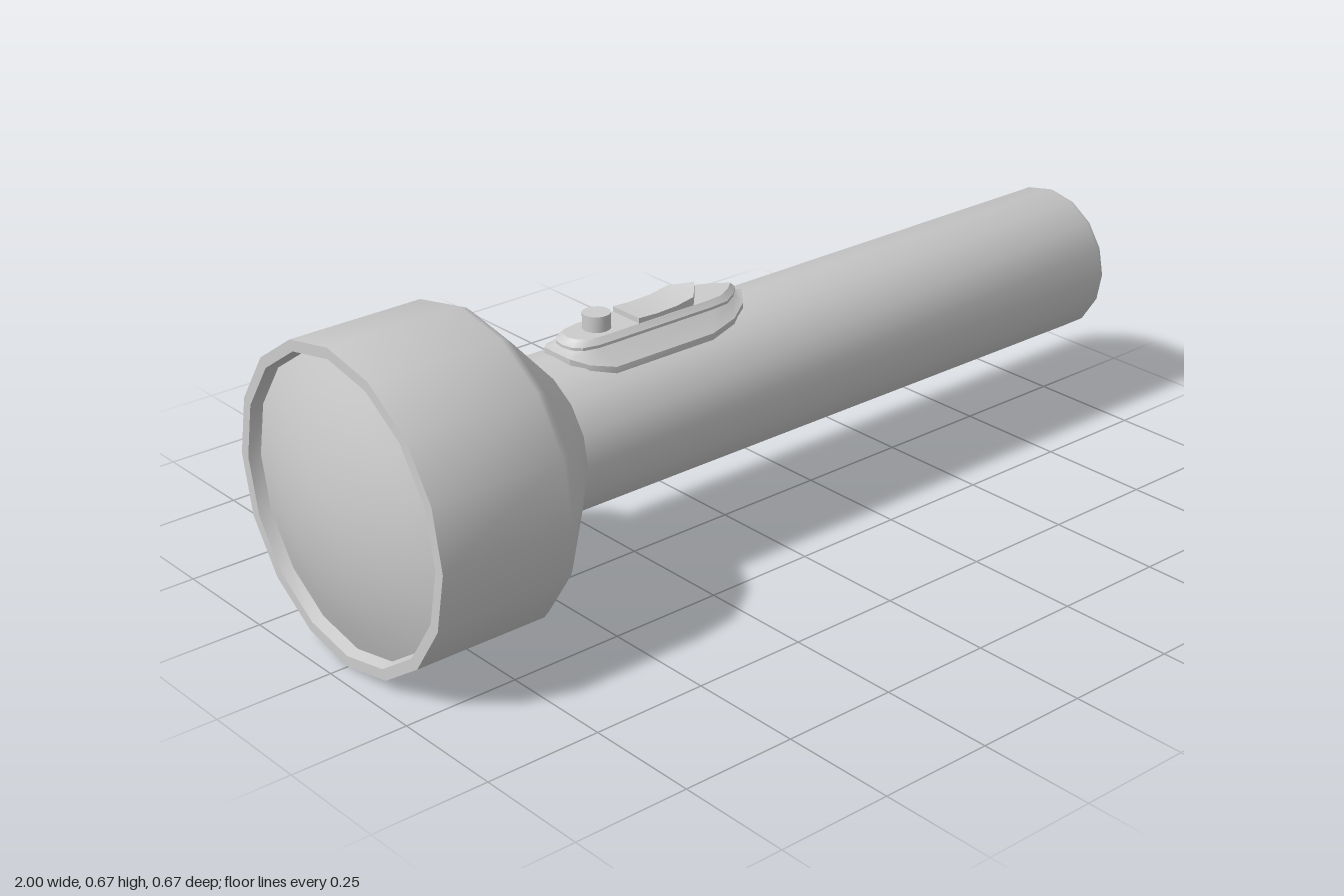
import * as THREE from 'three';
import { toCreasedNormals } from 'three/addons/utils/BufferGeometryUtils.js';

const AXIS = 0.333, BODY_R = 0.165;

export function createModel() {
  const model = new THREE.Group();
  const material = new THREE.MeshStandardMaterial({ color: 0xcccccc });

  function add(name, geometry, crease = 0.6) {
    const mesh = new THREE.Mesh(toCreasedNormals(geometry, crease), material);
    mesh.name = name;
    model.add(mesh);
    return mesh;
  }

  // 16-sided turned part lying along x; profile is [x, radius]
  function turned(name, profile, crease) {
    const points = profile.map(([x, r]) => new THREE.Vector2(r, x));
    const geometry = new THREE.LatheGeometry(points, 16);
    geometry.rotateZ(-Math.PI / 2);
    geometry.translate(0, AXIS, 0);
    return add(name, geometry, crease);
  }

  // Stacks mirrored outlines from bottom to top and closes the top.
  // Each ring is a half outline of [x, z] with a height rule y(x, z).
  function loft(name, rings, crease) {
    const loops = rings.map(({ half, y }) => {
      const back = half.slice(1, -1).reverse().map(([x, z]) => [x, -z]);
      return [...half, ...back].map(([x, z]) => [x, y(x, z), z]);
    });
    const n = loops[0].length;
    const positions = [];
    const quad = (a, b, c, d) => positions.push(...a, ...b, ...c, ...a, ...c, ...d);
    for (let k = 0; k < loops.length - 1; k++) {
      for (let i = 0; i < n; i++) {
        const j = (i + 1) % n;
        quad(loops[k][i], loops[k][j], loops[k + 1][j], loops[k + 1][i]);
      }
    }
    const top = loops[loops.length - 1];
    for (let i = 0; i < n / 2; i++) {
      const a = top[i], b = top[i + 1], c = top[n - i - 1], d = top[(n - i) % n];
      if (i === 0) positions.push(...a, ...b, ...c);
      else if (i === n / 2 - 1) positions.push(...a, ...b, ...d);
      else quad(a, b, c, d);
    }
    const geometry = new THREE.BufferGeometry();
    geometry.setAttribute('position', new THREE.Float32BufferAttribute(positions, 3));
    geometry.computeVertexNormals();
    return add(name, geometry, crease);
  }

  // Domed lens, set slightly inside the rim
  const lens = [0, 0.06, 0.12, 0.18, 0.24, 0.305].map(r => [-1 + 0.7 * r * r, r]);
  turned('lens', lens);

  // Head: recessed rim, barrel, softened shoulder and cone
  turned('head', [
    [-0.93, 0.302], [-0.96, 0.31], [-0.96, 0.333], [-0.665, 0.333],
    [-0.648, 0.325], [-0.635, 0.313], [-0.495, BODY_R],
  ]);

  // Handle tube with bevelled end cap
  turned('handle', [
    [-0.5, BODY_R], [0.985, BODY_R], [0.996, 0.16], [1, 0.15], [1, 0],
  ]);

  // Switch plate: a flange following the tube, then a raised block
  const flange = [
    [-0.445, 0], [-0.437, 0.04], [-0.41, 0.07], [-0.36, 0.09],
    [-0.11, 0.09], [-0.04, 0.075], [0.01, 0.045], [0.045, 0],
  ];
  const block = [
    [-0.425, 0], [-0.42, 0.025], [-0.405, 0.042], [-0.37, 0.051],
    [-0.08, 0.051], [-0.035, 0.047], [0, 0.026], [0.028, 0],
  ];
  const inset = block.map(([x, z]) => [-0.19 + (x + 0.19) * 0.94, z * 0.82]);
  const onTube = lift => (x, z) => AXIS + Math.sqrt(BODY_R ** 2 - z * z) + lift;
  loft('switchPlate', [
    { half: flange, y: onTube(-0.012) },
    { half: flange, y: onTube(0.01) },
    { half: block, y: () => 0.512 },
    { half: block, y: () => 0.518 },
    { half: inset, y: () => 0.53 },
  ], 0.5);

  // Sliding switch: pointed towards the tail, dished on top
  const slider = [[-0.262, 0], [-0.262, 0.041], [-0.215, 0.041], [-0.165, 0.041],
    [-0.12, 0.041], [-0.082, 0]];
  const sliderTop = x => 0.539 + 1.4 * Math.max(0, x + 0.2) ** 2 + 0.6 * Math.max(0, -x - 0.2) ** 2;
  loft('slideSwitch', [
    { half: slider, y: () => 0.52 },
    { half: slider, y: sliderTop },
  ], 0.5);

  // Round push button
  const button = new THREE.CylinderGeometry(0.029, 0.029, 0.043, 16);
  add('pushButton', button).position.set(-0.337, 0.5415, 0);

  return model;
}
